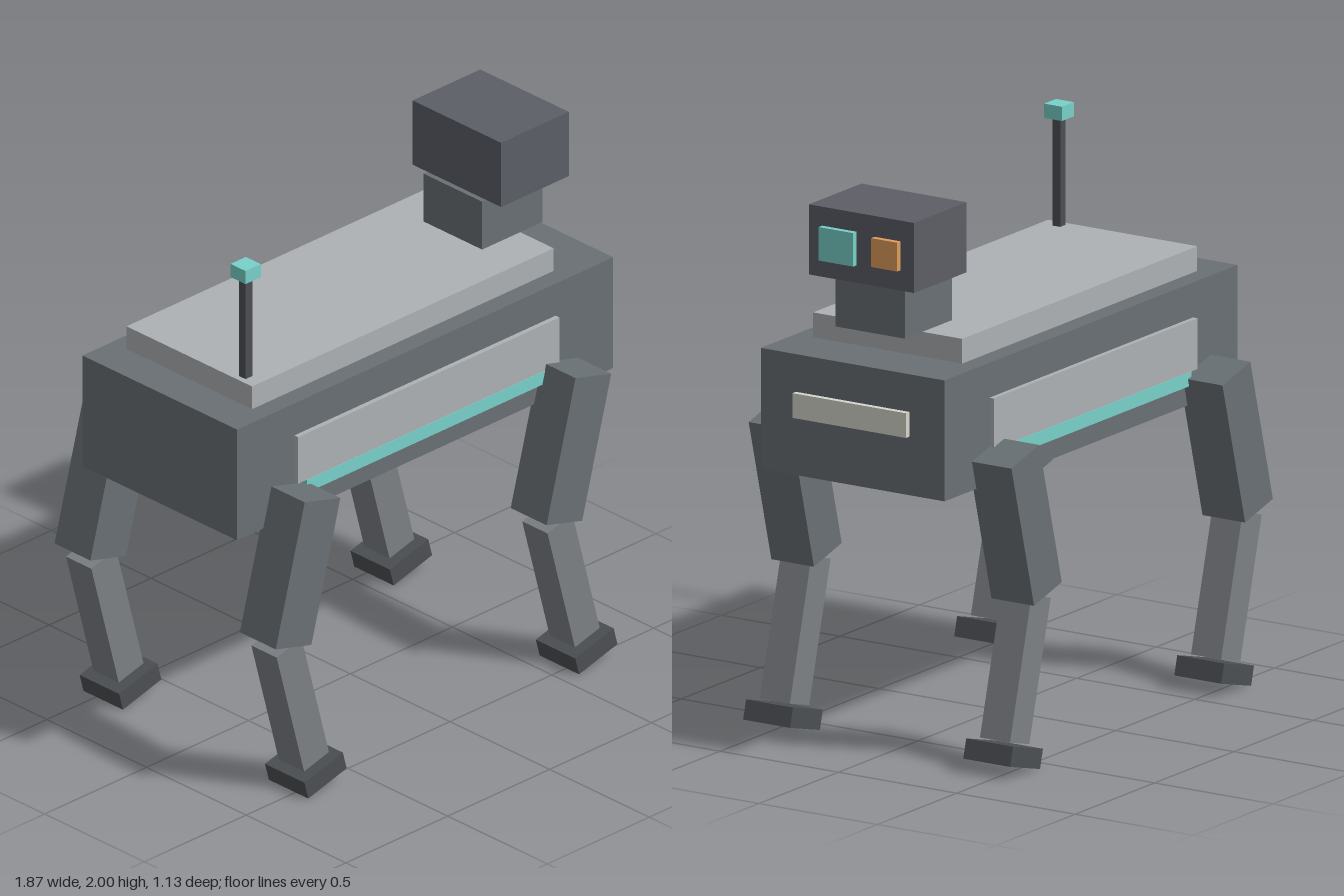
import * as THREE from 'three';

const mat = (color) => new THREE.MeshStandardMaterial({ color, flatShading: true });

export function createModel() {
  const model = new THREE.Group();
  model.name = 'robotDog';

  const hull = mat(0x697074), plate = mat(0xadb1b5), dark = mat(0x5c5e66);
  const shinGrey = mat(0x7c8084), footGrey = mat(0x4c4f53);
  const teal = mat(0x78d2ca), orange = mat(0xe09c5c), lamp = mat(0xd6d8ce);

  // Box given by its size and centre, optionally tilted in the x-y plane
  function box(name, material, [w, h, d], [x, y, z], tilt = 0, parent = model) {
    const mesh = new THREE.Mesh(new THREE.BoxGeometry(w, h, d), material);
    mesh.name = name;
    mesh.position.set(x, y, z);
    mesh.rotation.z = tilt;
    parent.add(mesh);
    return mesh;
  }

  // Torso with back plate and chest lamp
  box('torso', hull, [1.845, 0.44, 0.776], [-0.012, 1.245, 0]);
  box('backPlate', plate, [1.48, 0.09, 0.63], [-0.05, 1.51, 0]);
  box('chestLamp', lamp, [0.04, 0.09, 0.48], [0.912, 1.283, 0]);

  // Neck, head and eyes, looking along +x
  box('neck', hull, [0.297, 0.19, 0.294], [0.652, 1.65, 0]);
  box('head', dark, [0.332, 0.255, 0.444], [0.689, 1.8725, 0]);
  box('largeEye', teal, [0.04, 0.122, 0.146], [0.857, 1.87, 0.093]);
  box('smallEye', orange, [0.04, 0.105, 0.11], [0.857, 1.872, -0.111]);

  // Antenna
  box('antennaMast', footGrey, [0.033, 0.4, 0.033], [-0.751, 1.755, 0.243]);
  box('antennaTip', teal, [0.075, 0.052, 0.075], [-0.751, 1.974, 0.243]);

  // Side panels, light strips and legs, mirrored on both sides
  const bend = THREE.MathUtils.degToRad(15);
  for (const side of [1, -1]) {
    box('sidePanel', plate, [1.283, 0.185, 0.03], [-0.013, 1.2455, side * 0.392]);
    box('lightStrip', teal, [1.2, 0.05, 0.03], [-0.013, 1.128, side * 0.394]);

    for (const [name, x] of [['frontLeg', 0.579], ['rearLeg', -0.75]]) {
      const leg = new THREE.Group();
      leg.name = name;
      leg.position.set(x, 0, side * 0.465);
      box('thigh', hull, [0.181, 0.55, 0.18], [0, 0.888, 0], -bend, leg);
      box('shin', shinGrey, [0.126, 0.52, 0.127], [0, 0.357, 0], bend, leg);
      box('foot', footGrey, [0.195, 0.072, 0.198], [0.077, 0.061, 0], bend, leg);
      model.add(leg);
    }
  }
  return model;
}
